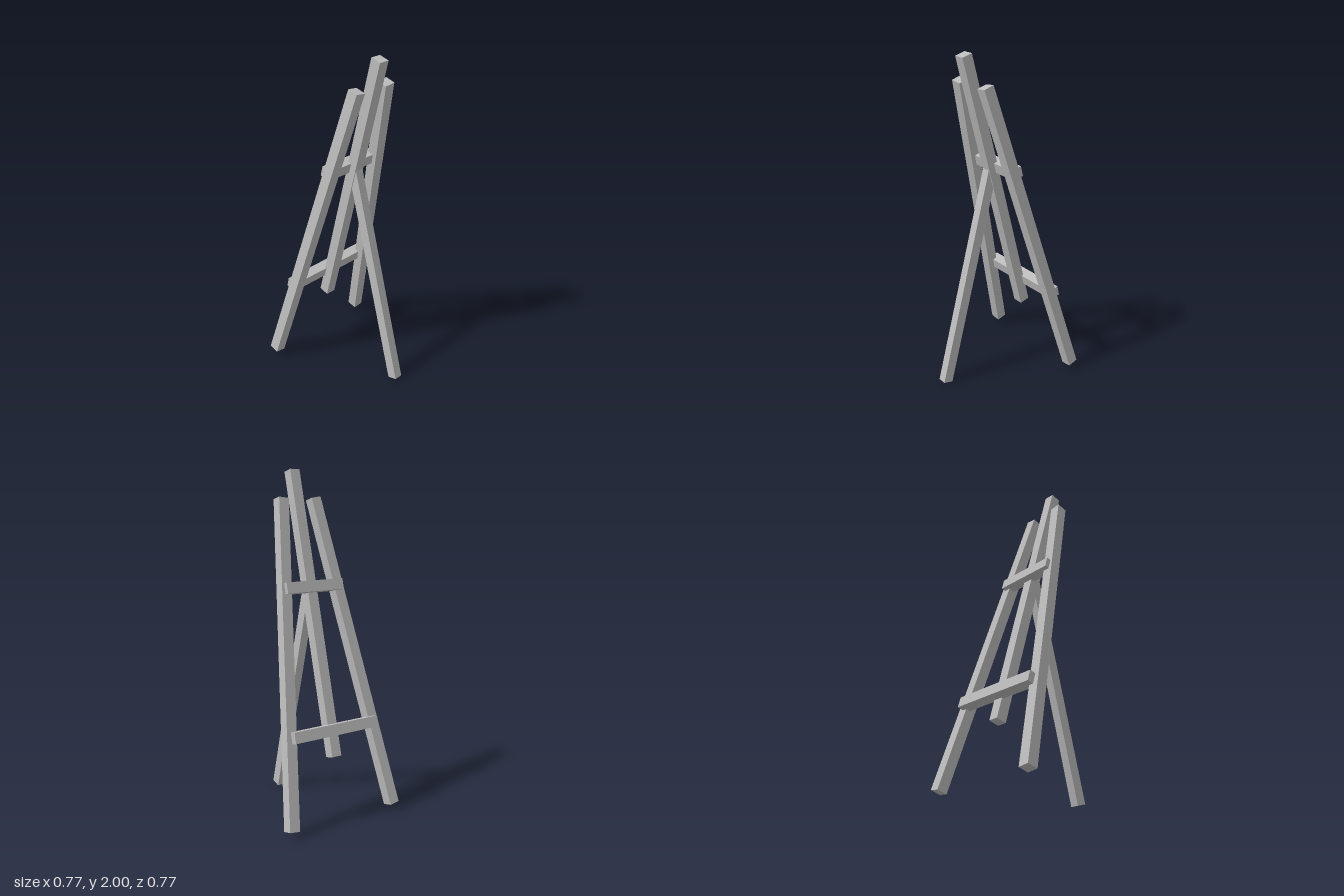
import * as THREE from 'three';

export function createModel() {
  const model = new THREE.Group();
  model.name = 'easel';
  const wood = new THREE.MeshStandardMaterial({ color: 0xbcbcbc });
  wood.name = 'plain grey wood';

  const TILT = THREE.MathUtils.degToRad(15);
  const T = 0.064; // timber thickness

  function beam(parent, name, size, position) {
    const mesh = new THREE.Mesh(new THREE.BoxGeometry(...size), wood);
    mesh.name = name;
    mesh.position.set(...position);
    parent.add(mesh);
    return mesh;
  }

  // Leaning frame: everything inside is upright before the tilt
  const frame = new THREE.Group();
  frame.name = 'leaningFrame';
  frame.rotation.x = TILT;
  model.add(frame);

  // Splayed side legs
  for (const [side, s] of [['left', 1], ['right', -1]]) {
    const leg = beam(frame, side + 'Leg', [T, 1.877, T], [s * 0.233, 0.871, -0.353]);
    leg.rotation.z = s * THREE.MathUtils.degToRad(7.47);
  }

  // Central post, set slightly behind the legs' canvas side
  beam(frame, 'centrePost', [T, 1.681, T], [0, 1.131, -0.339]);

  // Crossbars let into the legs
  beam(frame, 'lowerCrossbar', [0.582, T, T], [0, 0.448, -0.391]);
  beam(frame, 'upperCrossbar', [0.388, T, T], [0, 1.279, -0.38]);

  // Prop leg, leaning the other way and ending inside the post
  const prop = beam(model, 'propLeg', [0.052, 1.358, 0.062], [0, 0.664, 0.179]);
  prop.rotation.x = -TILT;

  return model;
}
